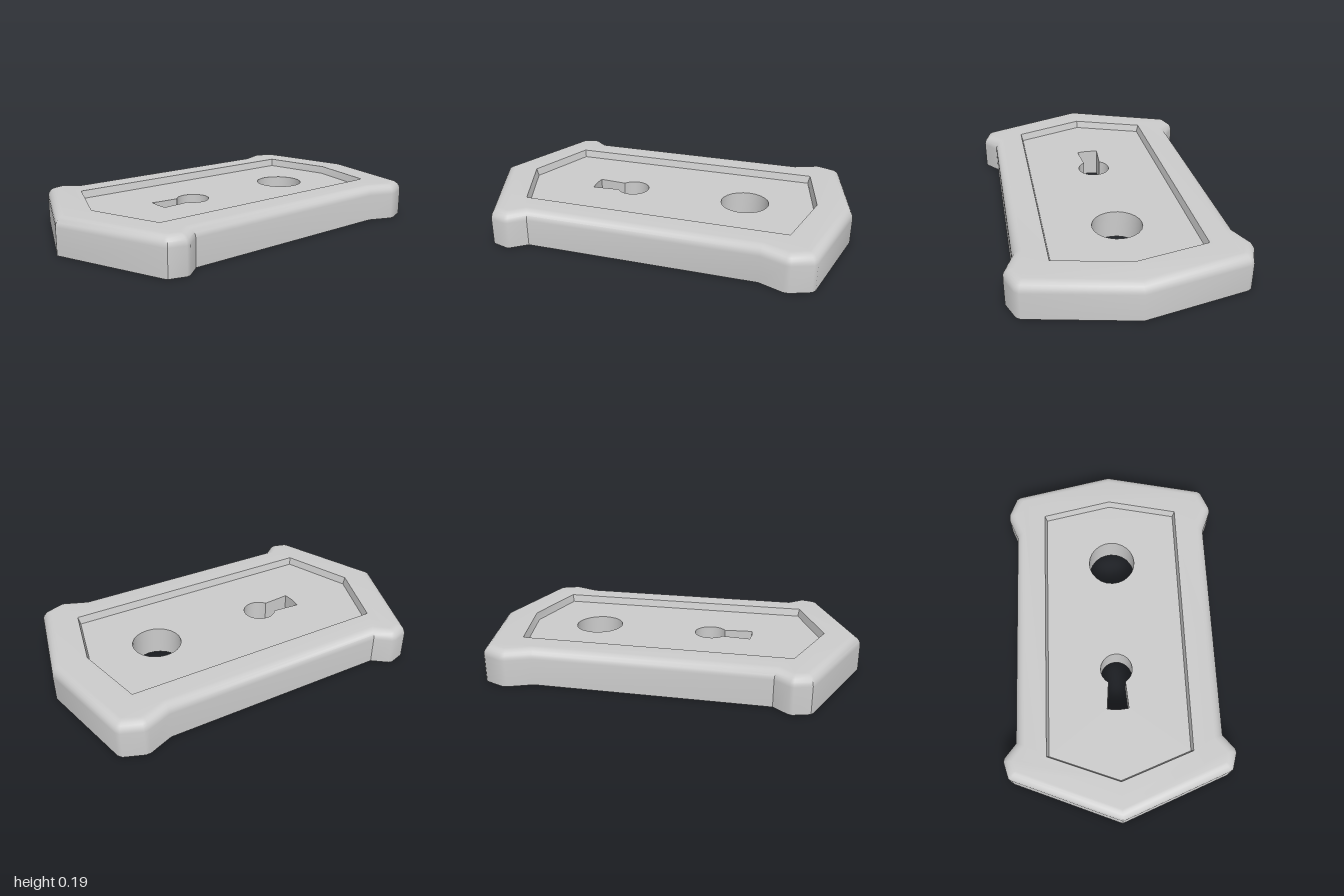
import * as THREE from 'three';
import { mergeGeometries, toCreasedNormals } from 'three/addons/utils/BufferGeometryUtils.js';

const FLOOR = 0.15, BEVEL_START = 0.14, TOP = 0.19;

// Right half of an [x, z] outline, from back to front, mirrored into a closed loop
const mirrored = (half) => [...half, ...half.slice(1, -1).reverse().map(([x, z]) => [-x, z])];

// Points of a circular arc, angle measured from the back (-z) towards +x
function arc(cz, r, end, steps) {
  return Array.from({ length: steps + 1 }, (_, i) => {
    const a = (end * i) / steps;
    return [r * Math.sin(a), cz - r * Math.cos(a)];
  });
}

// Wall through loops of equal length; upward order faces out, downward order faces in
function loft(rings) {
  const pos = [];
  for (let k = 0; k < rings.length - 1; k++) {
    const [lo, y0] = rings[k], [hi, y1] = rings[k + 1];
    lo.forEach(([ax, az], i) => {
      const j = (i + 1) % lo.length;
      const a = [ax, y0, az], b = [lo[j][0], y0, lo[j][1]];
      const c = [hi[i][0], y1, hi[i][1]], d = [hi[j][0], y1, hi[j][1]];
      pos.push(...a, ...c, ...b, ...b, ...c, ...d);
    });
  }
  return new THREE.BufferGeometry().setAttribute('position', new THREE.Float32BufferAttribute(pos, 3));
}

// Flat horizontal face with holes, facing up (dir 1) or down (dir -1)
function flat(outline, holes, y, dir) {
  const toVec = (pts) => pts.map(([x, z]) => new THREE.Vector2(x, -dir * z));
  const shape = new THREE.Shape(toVec(outline));
  shape.holes = holes.map((h) => new THREE.Path(toVec(h)));
  const g = new THREE.ShapeGeometry(shape).rotateX((-dir * Math.PI) / 2).translate(0, y, 0).toNonIndexed();
  g.deleteAttribute('uv');
  g.deleteAttribute('normal');
  return g;
}

export function createModel() {
  const group = new THREE.Group();
  const material = new THREE.MeshStandardMaterial({ color: 0xcccccc });
  const add = (name, parts) => {
    const mesh = new THREE.Mesh(toCreasedNormals(mergeGeometries(parts), 0.6), material);
    mesh.name = name;
    group.add(mesh);
  };

  // Plate outline at the base and where the rounded edge meets the flat rim
  const outer = mirrored([
    [0, -1], [0.53, -0.885], [0.55, -0.87], [0.59, -0.77], [0.59, -0.745], [0.54, -0.62],
    [0.54, 0.585], [0.6, 0.66], [0.605, 0.68], [0.58, 0.765], [0.565, 0.775], [0, 1],
  ]);
  const inner = mirrored([
    [0, -0.95], [0.505, -0.84], [0.512, -0.833], [0.54, -0.762], [0.54, -0.752], [0.49, -0.63],
    [0.49, 0.608], [0.55, 0.678], [0.552, 0.685], [0.538, 0.73], [0.533, 0.735], [0, 0.946],
  ]);

  // Recessed panel outline, slightly narrower at its floor
  const recessTop = mirrored([[0, -0.815], [0.378, -0.733], [0.378, 0.668], [0, 0.81]]);
  const recessFloor = mirrored([[0, -0.803], [0.368, -0.724], [0.368, 0.661], [0, 0.799]]);

  // Openings
  const spindle = mirrored(arc(-0.435, 0.128, Math.PI, 12));
  const keyhole = mirrored([...arc(0.202, 0.086, 2.58, 10), [0.058, 0.422], [0, 0.428]]);
  const openings = [spindle, keyhole];

  // Side wall, rounded edge and flat rim
  const rings = [[outer, 0]];
  const steps = 6;
  for (let s = 0; s <= steps; s++) {
    const a = (s / steps) * Math.PI / 2, t = 1 - Math.cos(a);
    const loop = outer.map(([x, z], i) => [x + (inner[i][0] - x) * t, z + (inner[i][1] - z) * t]);
    rings.push([loop, BEVEL_START + (TOP - BEVEL_START) * Math.sin(a)]);
  }
  add('frame', [loft(rings), flat(inner, [recessTop], TOP, 1)]);

  // Sunken centre
  add('recessedPanel', [loft([[recessTop, TOP], [recessFloor, FLOOR]]), flat(recessFloor, openings, FLOOR, 1)]);

  // Through-hole walls
  add('spindleHole', [loft([[spindle, FLOOR], [spindle, 0]])]);
  add('keyhole', [loft([[keyhole, FLOOR], [keyhole, 0]])]);

  // Flat back of the plate
  add('underside', [flat(outer, openings, 0, -1)]);

  return group;
}
